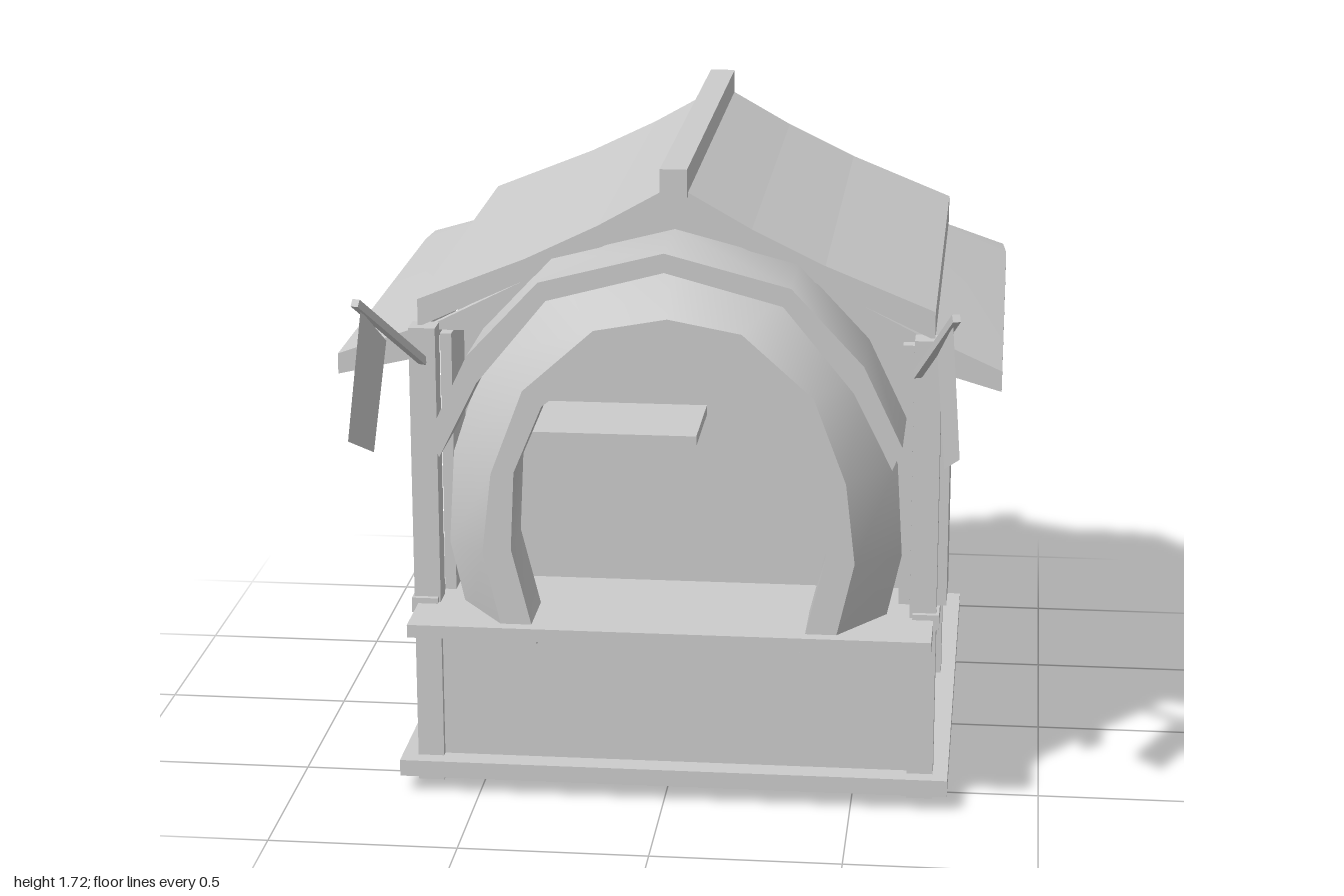
import * as THREE from 'three';
import { toCreasedNormals } from 'three/addons/utils/BufferGeometryUtils.js';

const CX = 0.023; // middle line of the hut
const mat = new THREE.MeshStandardMaterial({ color: 0xcccccc });
const flat = new THREE.MeshStandardMaterial({ color: 0xcccccc, flatShading: true });
const thin = new THREE.MeshStandardMaterial({ color: 0xcccccc, side: THREE.DoubleSide });

export function createModel() {
  const root = new THREE.Group();

  function add(name, geometry, material = mat) {
    const mesh = new THREE.Mesh(geometry, material);
    mesh.name = name;
    root.add(mesh);
    return mesh;
  }

  // Box from its minimum and maximum on each axis
  function box(name, x0, x1, y0, y1, z0, z1) {
    const mesh = add(name, new THREE.BoxGeometry(x1 - x0, y1 - y0, z1 - z0));
    mesh.position.set((x0 + x1) / 2, (y0 + y1) / 2, (z0 + z1) / 2);
    return mesh;
  }

  // Solid through a row of closed cross-sections, capped at both ends
  function loft(sections, crease) {
    const n = sections[0].length, last = (sections.length - 1) * n;
    const pts = sections.flat().map(p => new THREE.Vector3(...p));
    const tris = [];
    for (let i = 0; i < sections.length - 1; i++) {
      for (let j = 0; j < n; j++) {
        const k = (j + 1) % n, a = i * n + j, b = i * n + k;
        tris.push([a, b, b + n], [a, b + n, a + n]);
      }
    }
    for (let j = 1; j < n - 1; j++) {
      tris.push([0, j + 1, j], [last, last + j, last + j + 1]);
    }
    // Turn all faces outward
    const volume = tris.reduce((sum, [a, b, c]) =>
      sum + pts[a].dot(pts[b].clone().cross(pts[c])), 0);
    if (volume < 0) tris.forEach(t => t.reverse());
    const geometry = new THREE.BufferGeometry().setFromPoints(pts);
    geometry.setIndex(tris.flat());
    return toCreasedNormals(geometry, crease);
  }

  // Half an arch, listed from the crown down, mirrored into a whole one
  const mirrored = half => [
    ...half.slice(1).reverse().map(([x, y]) => [CX - x, y]),
    ...half.map(([x, y]) => [CX + x, y]),
  ];

  function extrude(points, z0, z1) {
    const shape = new THREE.Shape(points.map(p => new THREE.Vector2(...p)));
    return new THREE.ExtrudeGeometry(shape, { depth: z1 - z0, bevelEnabled: false }).translate(0, 0, z0);
  }

  // Base frame
  box('baseFront', -0.715, 0.757, 0.05, 0.095, 0.53, 0.64);
  box('baseBack', -0.715, 0.757, 0.05, 0.095, -0.86, -0.75);
  box('baseRight', -0.715, -0.6, 0.05, 0.095, -0.75, 0.53);
  box('baseLeft', 0.642, 0.757, 0.05, 0.095, -0.75, 0.53);
  box('backFootRail', -0.61, 0.65, 0.015, 0.05, -0.81, -0.76);

  // Posts
  for (const [x, foot] of [[-0.672, 0.025], [0.647, 0.005]]) {
    box('frontPost', x, x + 0.07, 0.025, 1.29, 0.527, 0.595);
    box('middlePost', x, x + 0.07, 0.025, 1.25, -0.24, -0.17);
    box('backPost', x, x + 0.07, foot, 1.25, -0.825, -0.755);
  }

  // Walls
  box('frontWall', -0.605, 0.65, 0.06, 0.505, 0.54, 0.575);
  box('backWall', -0.605, 0.65, 0.06, 1.27, -0.81, -0.78);
  for (const x of [-0.655, 0.672]) {
    box('lowSideWall', x, x + 0.03, 0.06, 0.52, -0.18, 0.54);
    box('highSideWall', x, x + 0.03, 0.06, 1.27, -0.77, -0.22);
  }
  for (const x of [-0.677, 0.655]) box('windowSill', x, x + 0.07, 0.51, 0.55, -0.21, 0.61);

  // Narrow panels behind the front posts
  box('innerPanel', -0.6, -0.57, 0.55, 1.26, 0.33, 0.53);
  box('innerPanel', 0.615, 0.645, 0.55, 1.26, 0.33, 0.53);
  box('outerPanel', 0.712, 0.742, 0.55, 1.26, 0.33, 0.53);

  // Counter and inside shelf
  box('counter', -0.66, 0.71, 0.5, 0.535, 0.36, 0.78);
  box('shelf', -0.61, -0.02, 0.67, 0.7, -0.78, -0.45);

  // Tapered arch standing on the counter
  const backRim = mirrored([[0, 1.51], [0.31, 1.43], [0.5, 1.21], [0.585, 0.95], [0.6, 0.7], [0.55, 0.475]]);
  const frontRim = mirrored([[0, 1.37], [0.19, 1.335], [0.375, 1.17], [0.46, 0.945], [0.485, 0.73], [0.43, 0.49]]);
  const innerRim = mirrored([[0, 1.29], [0.17, 1.255], [0.325, 1.13], [0.4, 0.95], [0.41, 0.74], [0.345, 0.48]]);
  add('arch', loft(backRim.map((b, i) => [
    [...b, 0.57], [...frontRim[i], 0.745], [...innerRim[i], 0.745], [...innerRim[i], 0.57],
  ]), 0.65));

  // Curved hood over the arch
  const hoodTop = mirrored([[0, 1.56], [0.32, 1.477], [0.505, 1.28], [0.605, 1.07]]);
  const hoodUnder = mirrored([[0, 1.51], [0.3, 1.43], [0.48, 1.21], [0.58, 1.01]]);
  add('hood', loft(hoodTop.map((p, i) => [
    [...p, 0.55], [...p, 0.82], [...hoodUnder[i], 0.82], [...hoodUnder[i], 0.55],
  ]), 0.65));

  // Sloping eaves along the sides and round the back corners
  const outer = [[0.872, 0.54], [0.87, -0.77], [0.86, -0.88], [0.78, -0.98], [0.65, -1]];
  const inner = [[0.66, 0.54], [0.66, -0.74], [0.657, -0.78], [0.645, -0.8], [0.6, -0.8]];
  const rib = (s, i) => {
    const [ox, oz] = outer[i], [ix, iz] = inner[i], x = CX + s * ix;
    return [[x, 1.285, iz], [s * ox, 1.2, oz], [s * ox, 1.145, oz], [x, 1.2, iz]];
  };
  add('eaves', loft([
    ...outer.map((_, i) => rib(-1, i)),
    ...outer.map((_, i) => rib(1, outer.length - 1 - i)),
  ], 0.5));

  // Gabled roof with a slight inward bend, gable fillings and ridge beam
  const roofTop = mirrored([[0, 1.68], [0.2, 1.567], [0.39, 1.475], [0.675, 1.36]]);
  const roofUnder = mirrored([[0, 1.6], [0.675, 1.285]]).reverse();
  add('roof', extrude([...roofTop, ...roofUnder], -0.8, 0.565), flat);
  const gable = [[CX - 0.67, 1.27], [CX + 0.67, 1.27], [CX, 1.61]];
  add('backGable', extrude(gable, -0.77, -0.74));
  add('frontGable', extrude(gable, 0.5, 0.53));
  box('ridgeBeam', -0.012, 0.058, 1.65, 1.725, -0.805, 0.59);

  // Flags on slanted poles
  for (const s of [-1, 1]) {
    const at = (x, y, z) => new THREE.Vector3(s * x + 0.01, y, z);
    const foot = at(0.645, 1.2, 0.59), tip = at(0.748, 1.445, 0.945);
    const pole = add('flagPole', new THREE.BoxGeometry(0.02, 0.02, foot.distanceTo(tip)));
    pole.position.lerpVectors(foot, tip, 0.5);
    pole.lookAt(tip);
    const cloth = new THREE.BufferGeometry().setFromPoints([
      at(0.74, 1.42, 0.92), at(0.7, 1.31, 0.8), at(0.725, 1.035, 0.875), at(0.765, 1.1, 1),
    ]);
    cloth.setIndex([0, 1, 2, 0, 2, 3]);
    cloth.computeVertexNormals();
    add('flag', cloth, thin);
  }

  return root;
}
